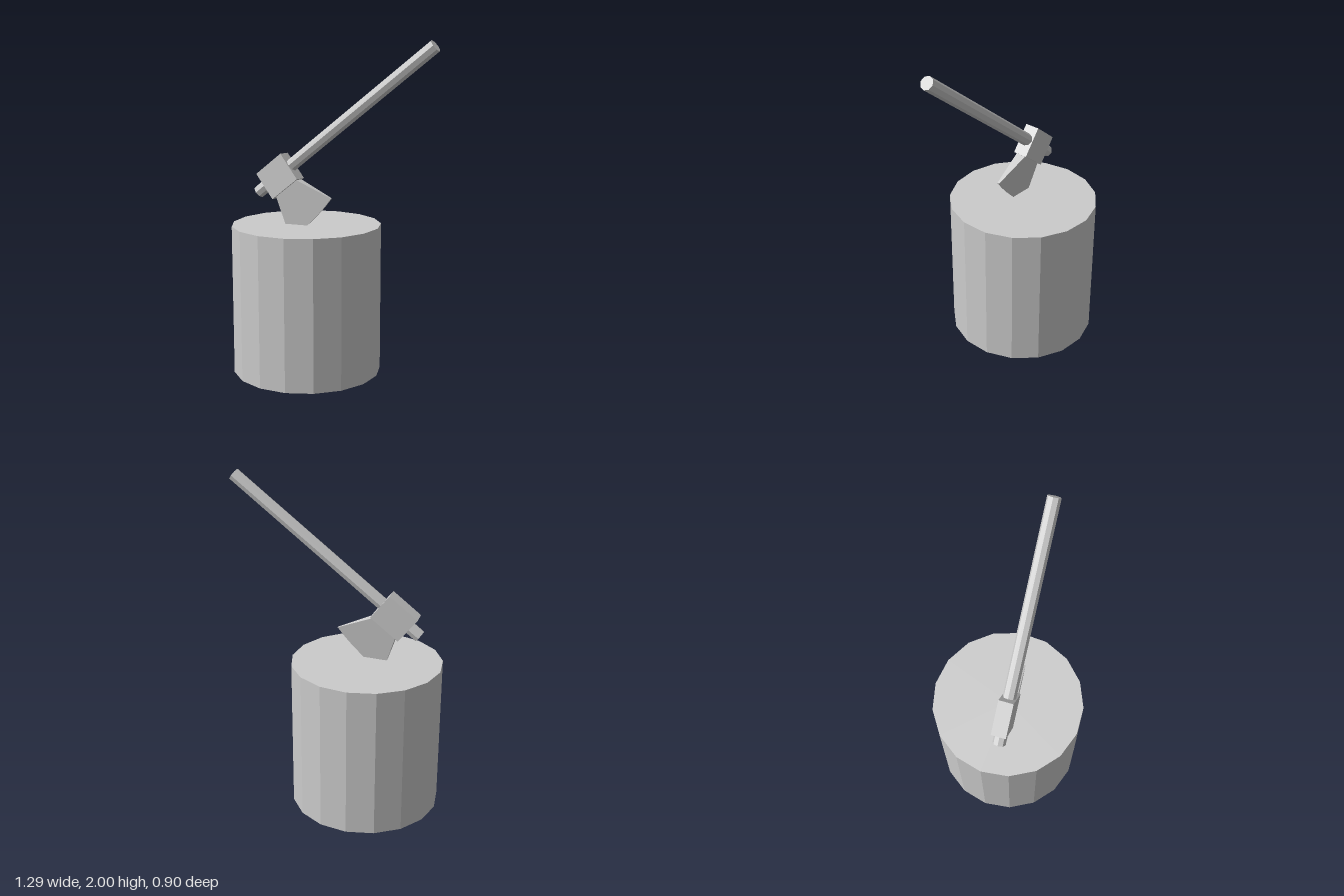
import * as THREE from 'three';

const material = new THREE.MeshStandardMaterial({ color: 0xcccccc, flatShading: true });

function addPart(parent, name, geometry) {
  const mesh = new THREE.Mesh(geometry, material);
  mesh.name = name;
  parent.add(mesh);
  return mesh;
}

// Wedge: a flared outline, extruded and thinned towards the cutting edge
function bladeGeometry() {
  const rootY = -0.085, edgeY = -0.345;
  const outline = [
    [-0.08, rootY], [-0.16, -0.31], [-0.1, -0.335], [-0.026, -0.344],
    [0.068, -0.334], [0.139, -0.322], [0.208, -0.305], [0.09, rootY],
  ].map(([x, y]) => new THREE.Vector2(x, y));
  const geometry = new THREE.ExtrudeGeometry(new THREE.Shape(outline), { depth: 2, bevelEnabled: false });
  geometry.translate(0, 0, -1);
  const p = geometry.attributes.position;
  for (let i = 0; i < p.count; i++) {
    const t = (p.getY(i) - rootY) / (edgeY - rootY);
    p.setZ(i, p.getZ(i) * THREE.MathUtils.lerp(0.032, 0.002, t));
  }
  geometry.computeVertexNormals();
  return geometry;
}

export function createModel() {
  const model = new THREE.Group();
  model.name = 'axeInStump';

  // Chopping block, with a corner pointing to the back
  const stump = addPart(model, 'stump', new THREE.CylinderGeometry(0.452, 0.452, 0.91, 17));
  stump.position.set(-0.197, 0.455, 0);
  stump.rotation.y = Math.PI;

  // Axe: local x runs along the handle, local -y towards the cutting edge
  const axe = new THREE.Group();
  axe.name = 'axe';
  axe.position.set(-0.357, 1.196, 0.034);
  axe.rotation.set(-0.05, 0, 0.667, 'ZYX');
  model.add(axe);

  const handle = addPart(axe, 'handle', new THREE.CylinderGeometry(0.039, 0.039, 1.426, 8));
  handle.rotation.z = -Math.PI / 2;
  handle.position.set(0.531, 0.006, 0);

  addPart(axe, 'axeHead', new THREE.BoxGeometry(0.213, 0.186, 0.088));
  addPart(axe, 'blade', bladeGeometry());

  return model;
}
